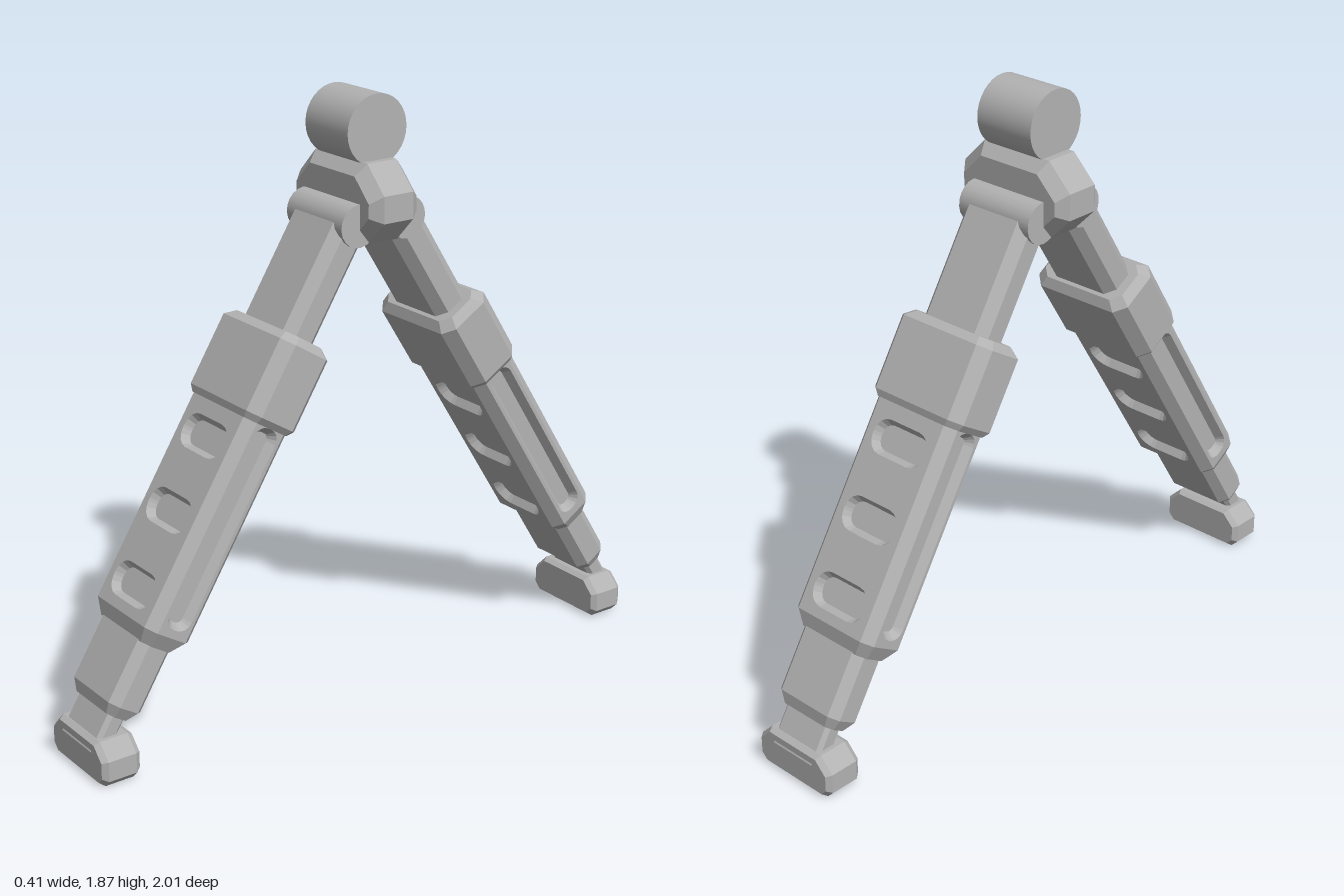
import * as THREE from 'three';

const metal = new THREE.MeshStandardMaterial({ color: 0xb2b2b2 });
metal.name = 'grey metal';

const V = (x, y, z) => new THREE.Vector3(x, y, z);

function add(parent, name, geometry) {
  const mesh = new THREE.Mesh(geometry, metal);
  mesh.name = name;
  parent.add(mesh);
  return mesh;
}

// Faceted skin over equal-sized rings, counter-clockwise about their direction of travel
function loft(rings, { start = true, end = true, skip = () => false } = {}) {
  const pts = [];
  const n = rings[0].length;
  for (let r = 0; r + 1 < rings.length; r++) {
    const a = rings[r], b = rings[r + 1];
    for (let i = 0; i < n; i++) {
      if (skip(i)) continue;
      const j = (i + 1) % n;
      pts.push(a[i], a[j], b[j], a[i], b[j], b[i]);
    }
  }
  const first = rings[0], last = rings[rings.length - 1];
  for (let i = 1; i + 1 < n; i++) {
    if (start) pts.push(first[0], first[i + 1], first[i]);
    if (end) pts.push(last[0], last[i], last[i + 1]);
  }
  const g = new THREE.BufferGeometry().setFromPoints(pts);
  g.computeVertexNormals();
  return g;
}

// Chamfered rectangle across a leg, at distance s below the hinge
function ring(hx, hz, c, s) {
  const x = hx - c, z = hz - c;
  return [[hx, -z], [hx, z], [x, hz], [-x, hz], [-hx, z], [-hx, -z], [-x, -hz], [x, -hz]]
    .map(([px, pz]) => V(px, -s, pz));
}

// Rounded slot outline, counter-clockwise
function slot(w, h, r, cy, z) {
  const pts = [];
  const corners = [[1, 1], [-1, 1], [-1, -1], [1, -1]];
  corners.forEach(([sx, sy], k) => {
    for (let i = 0; i <= 4; i++) {
      const a = (k + i / 4) * Math.PI / 2;
      pts.push(V(sx * (w / 2 - r) + r * Math.cos(a), cy + sy * (h / 2 - r) + r * Math.sin(a), z));
    }
  });
  return pts;
}

// Flat face with sunken slots, facing +z
function recessedPanel(name, halfWidth, s0, s1, slots, depth, inset) {
  const group = new THREE.Group();
  group.name = name;
  const shape = new THREE.Shape([
    new THREE.Vector2(-halfWidth, -s1), new THREE.Vector2(halfWidth, -s1),
    new THREE.Vector2(halfWidth, -s0), new THREE.Vector2(-halfWidth, -s0)]);
  for (const { w, h, r, s } of slots) {
    const rim = slot(w, h, r, -s, 0);
    const floor = slot(w - 2 * inset, h - 2 * inset, r - inset, -s, -depth);
    shape.holes.push(new THREE.Path(rim.map(p => new THREE.Vector2(p.x, p.y))));
    add(group, 'recess', loft([rim, floor], { start: false }));
  }
  add(group, 'panelFace', new THREE.ShapeGeometry(shape));
  return group;
}

function makeLeg() {
  const leg = new THREE.Group();
  leg.name = 'leg';

  // Hinge barrel and upper bar
  const barrel = new THREE.CylinderGeometry(0.064, 0.064, 0.27, 20);
  add(leg, 'hingeBarrel', barrel).rotation.z = Math.PI / 2;
  add(leg, 'upperBar', loft([ring(0.125, 0.06, 0.03, 0), ring(0.125, 0.06, 0.03, 0.45)]));

  // Collar
  add(leg, 'collar', loft([
    ring(0.155, 0.072, 0.03, 0.36), ring(0.18, 0.096, 0.035, 0.385),
    ring(0.18, 0.096, 0.035, 0.61), ring(0.165, 0.085, 0.03, 0.63)]));

  // Sleeve: chamfered corners, tapered end and four recessed faces
  const hx = 0.16, hz = 0.083, c = 0.03, s0 = 0.6, s1 = 1.285;
  add(leg, 'sleeveCorners', loft([ring(hx, hz, c, s0), ring(hx, hz, c, s1)],
    { start: false, end: false, skip: i => i % 2 === 0 }));
  add(leg, 'sleeveEnd', loft([ring(hx, hz, c, s1), ring(0.135, 0.058, 0.025, 1.33)], { start: false }));
  const windows = [0.73, 0.965, 1.2].map(s => ({ w: 0.21, h: 0.106, r: 0.048, s }));
  const channel = [{ w: 0.084, h: 0.63, r: 0.036, s: 0.945 }];
  for (let k = 0; k < 4; k++) {
    const side = k % 2 === 1;
    const panel = side
      ? recessedPanel('sidePanel', hz - c, s0, s1, channel, 0.025, 0.018)
      : recessedPanel('slottedPanel', hx - c, s0, s1, windows, 0.025, 0.014);
    const angle = k * Math.PI / 2, d = side ? hx : hz;
    panel.rotation.y = angle;
    panel.position.set(Math.sin(angle) * d, 0, Math.cos(angle) * d);
    leg.add(panel);
  }

  // Lower bar and ankle
  add(leg, 'lowerBar', loft([
    ring(0.125, 0.06, 0.027, 1.3), ring(0.125, 0.06, 0.027, 1.525), ring(0.105, 0.04, 0.02, 1.56)]));
  add(leg, 'ankle', loft([ring(0.092, 0.03, 0.012, 1.54), ring(0.092, 0.03, 0.012, 1.68)]));
  return leg;
}

// Chamfered block outline in the xy plane; bottom and top chamfers differ
function blockRing(hx, y0, y1, c0, c1, z) {
  return [[hx, y0 + c0], [hx, y1 - c1], [hx - c1, y1], [c1 - hx, y1],
    [-hx, y1 - c1], [-hx, y0 + c0], [c0 - hx, y0], [hx - c0, y0]].map(([x, y]) => V(x, y, z));
}

export function createModel() {
  const model = new THREE.Group();
  model.name = 'bipod';

  // Top mounting barrel
  const mount = add(model, 'mountBarrel', new THREE.CylinderGeometry(0.105, 0.105, 0.205, 32));
  mount.rotation.z = Math.PI / 2;
  mount.position.y = 1.767;

  // Central hub
  const inner = z => blockRing(0.177, 1.475, 1.645, 0.06, 0.068, z);
  const outer = z => blockRing(0.205, 1.445, 1.68, 0.075, 0.08, z);
  add(model, 'hub', loft([inner(-0.086), outer(-0.052), outer(0.052), inner(0.086)]));

  // Front and back halves
  for (const back of [false, true]) {
    const half = new THREE.Group();
    half.name = back ? 'backLegAssembly' : 'frontLegAssembly';
    half.rotation.y = back ? Math.PI : 0;
    const leg = makeLeg();
    leg.position.set(0, 1.505, 0.087);
    leg.rotation.x = -THREE.MathUtils.degToRad(32);
    half.add(leg);

    // Foot
    const rim = z => blockRing(0.138, 0.012, 0.122, 0.02, 0.04, z);
    const full = z => blockRing(0.151, 0, 0.132, 0.024, 0.046, z);
    add(half, 'foot', loft([rim(0.875), full(0.892), full(0.983), rim(1)]));
    model.add(half);
  }
  return model;
}
